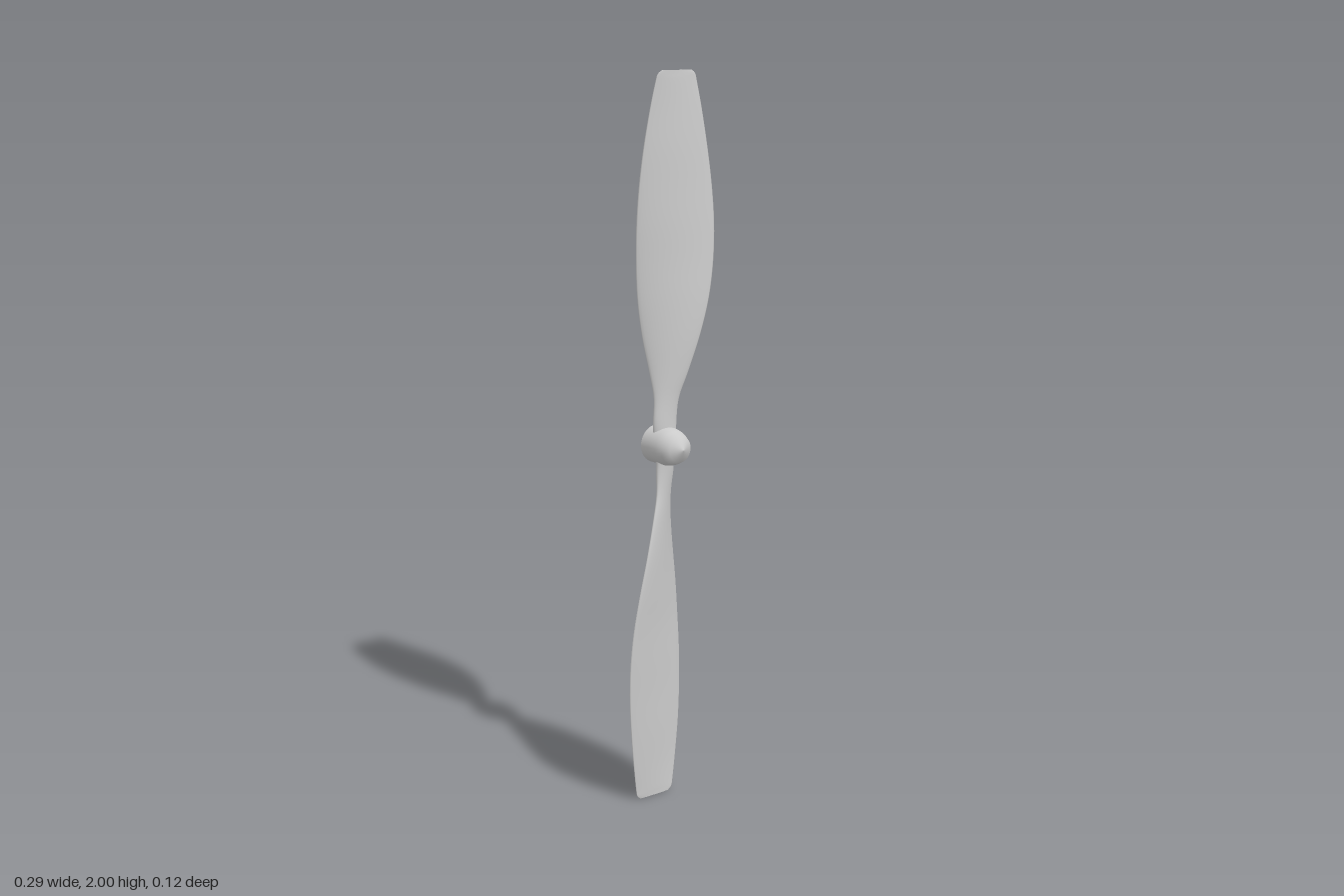
import * as THREE from 'three';

const material = new THREE.MeshStandardMaterial({ color: 0xcccccc });

// Blade stations: height above the hub, left edge x z, right edge x z, thickness, camber
const stations = [
  [0.00, -0.030, -0.032, 0.030, -0.010, 0.036, 0.000],
  [0.06, -0.034, -0.030, 0.033, -0.014, 0.030, 0.000],
  [0.13, -0.028, -0.034, 0.038, -0.008, 0.022, 0.001],
  [0.20, -0.035, -0.044, 0.060, 0.004, 0.020, 0.003],
  [0.30, -0.052, -0.054, 0.092, 0.016, 0.018, 0.005],
  [0.40, -0.065, -0.057, 0.120, 0.019, 0.017, 0.006],
  [0.50, -0.071, -0.055, 0.138, 0.015, 0.016, 0.006],
  [0.60, -0.073, -0.050, 0.145, 0.009, 0.015, 0.006],
  [0.70, -0.069, -0.044, 0.142, 0.002, 0.013, 0.005],
  [0.80, -0.059, -0.037, 0.132, -0.005, 0.011, 0.004],
  [0.90, -0.043, -0.030, 0.118, -0.012, 0.008, 0.002],
  [0.97, -0.029, -0.024, 0.106, -0.018, 0.006, 0.001],
  [0.99, -0.023, -0.022, 0.101, -0.019, 0.005, 0.000],
  [1.00, -0.011, -0.021, 0.090, -0.020, 0.004, 0.000],
];

// Loft a thin cambered section through smooth edge curves
function bladeGeometry(rows = 52, around = 28) {
  const spline = (f) => new THREE.CatmullRomCurve3(
    stations.map((s) => new THREE.Vector3(...f(s))), false, 'catmullrom', 0.5);
  const leftEdge = spline((s) => [s[1], s[0], s[2]]);
  const rightEdge = spline((s) => [s[3], s[0], s[4]]);
  const shape = spline((s) => [s[5], s[0], s[6]]);
  const positions = [], index = [];

  for (let i = 0; i <= rows; i++) {
    const t = i / rows;
    const l = leftEdge.getPoint(t), r = rightEdge.getPoint(t), s = shape.getPoint(t);
    const chord = r.clone().sub(l);
    const normal = new THREE.Vector3(-chord.z, 0, chord.x).normalize();
    for (let j = 0; j < around; j++) {
      const a = (j / around) * Math.PI * 2;
      const u = Math.cos(a);
      const offset = Math.sin(a) * s.x / 2 + s.z * (1 - u * u);
      const p = l.clone().addScaledVector(chord, (u + 1) / 2).addScaledVector(normal, offset);
      positions.push(p.x, p.y, p.z);
      if (i === rows) continue;
      const k = (j + 1) % around;
      const a0 = i * around + j, a1 = i * around + k;
      index.push(a0, a0 + around, a1, a1, a0 + around, a1 + around);
    }
  }

  // Flat tip cap with its own vertices
  const cap = positions.length / 3;
  positions.push(...positions.slice(-around * 3));
  for (let j = 1; j < around - 1; j++) index.push(cap, cap + j + 1, cap + j);

  const geometry = new THREE.BufferGeometry();
  geometry.setAttribute('position', new THREE.Float32BufferAttribute(positions, 3));
  geometry.setIndex(index);
  geometry.computeVertexNormals();
  return geometry;
}

export function createModel() {
  const propeller = new THREE.Group();
  propeller.name = 'propeller';
  const add = (name, geometry) => {
    const mesh = new THREE.Mesh(geometry, material);
    mesh.name = name;
    mesh.position.y = 1;
    propeller.add(mesh);
    return mesh;
  };

  // Two identical blades, half a turn apart
  const blade = bladeGeometry();
  add('upperBlade', blade);
  add('lowerBlade', blade).rotation.z = Math.PI;

  // Hub barrel with a blunt nose facing forward
  const profile = [[0.052, -0.06], [0.052, -0.03], [0.052, 0], [0.047, 0.022], [0.036, 0.045], [0, 0.06]]
    .map(([r, z]) => new THREE.Vector2(r, z));
  add('hub', new THREE.LatheGeometry(profile, 32).rotateX(Math.PI / 2));

  // Flat back of the hub
  add('hubBack', new THREE.CircleGeometry(0.052, 32).rotateY(Math.PI).translate(0, 0, -0.06));

  return propeller;
}
